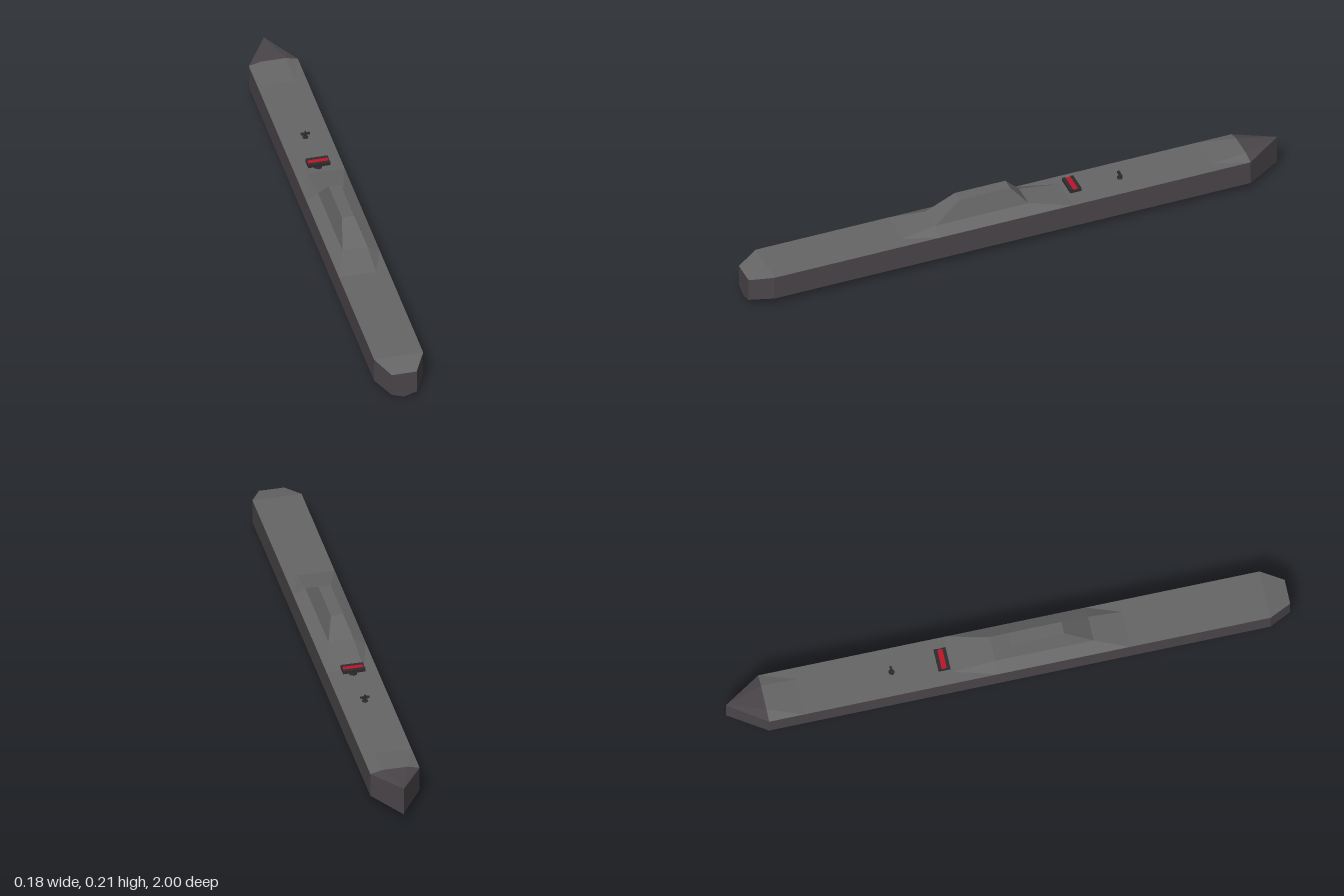
import * as THREE from 'three';

const paint = (color) => new THREE.MeshStandardMaterial({ color, flatShading: true });

// Skin between cross-sections given from bow to stern, each running clockwise seen from the bow
function loft(sections) {
  const pos = [];
  for (let i = 0; i < sections.length - 1; i++) {
    const a = sections[i], b = sections[i + 1];
    for (let j = 0; j < a.length - 1; j++) {
      pos.push(...a[j], ...a[j + 1], ...b[j + 1], ...a[j], ...b[j + 1], ...b[j]);
    }
  }
  const g = new THREE.BufferGeometry();
  g.setAttribute('position', new THREE.Float32BufferAttribute(pos, 3));
  g.computeVertexNormals();
  return g;
}

export function createModel() {
  const model = new THREE.Group();
  const deckMat = paint(0x666666), hullMat = paint(0x4a4549);
  const darkMat = paint(0x2c2c2e), redMat = paint(0xc01428);

  const add = (name, geometry, material, x = 0, y = 0, z = 0, parent = model) => {
    const m = new THREE.Mesh(geometry, material);
    m.name = name;
    m.position.set(x, y, z);
    parent.add(m);
    return m;
  };

  // Stations: z, half width, half width of deck crown, edge height, crown height, chine height, keel height
  const stations = [
    [1, 0.045, 0.03, 0.102, 0.102, 0.017, 0.002],
    [0.92, 0.088, 0.045, 0.12, 0.12, 0.03, 0],
    [0.42, 0.088, 0.045, 0.12, 0.12, 0.03, 0],
    [0.3, 0.088, 0.045, 0.12, 0.142, 0.03, 0],
    [-0.05, 0.088, 0.045, 0.12, 0.142, 0.03, 0],
    [-0.2, 0.088, 0.045, 0.12, 0.12, 0.03, 0],
    [-0.74, 0.088, 0.045, 0.12, 0.12, 0.03, 0],
    [-0.865, 0.088, 0.045, 0.12, 0.131, 0.03, 0],
    [-1, 0, 0, 0.132, 0.132, 0.03, 0.025],
  ];
  const deck = stations.map(([z, w, c, e, h]) => [[-w, e, z], [-c, h, z], [c, h, z], [w, e, z]]);
  const sides = stations.map(([z, w, , e, , b, k]) => [[w, e, z], [w, b, z], [0, k, z], [-w, b, z], [-w, e, z]]);
  add('deck', loft(deck.slice(0, -1)), deckMat);
  add('sternDeck', loft(deck.slice(-2)), hullMat);
  add('hull', loft(sides), hullMat);

  // Flat bow plate
  const bow = new THREE.Shape(sides[0].map(([x, y]) => new THREE.Vector2(x, y)));
  add('bowPlate', new THREE.ShapeGeometry(bow), hullMat, 0, 0, 1);

  // Tapered tower: a box whose upper face is drawn in
  const tower = new THREE.BoxGeometry(0.09, 0.068, 0.35);
  const p = tower.attributes.position;
  for (let i = 0; i < p.count; i++) {
    if (p.getY(i) > 0) {
      p.setX(i, Math.sign(p.getX(i)) * 0.022);
      p.setZ(i, p.getZ(i) > 0 ? 0.075 : -0.115);
    }
  }
  tower.computeVertexNormals();
  add('tower', tower, deckMat, 0, 0.176, 0.125);

  // Signal panel on a pedestal, red strip set in a dark frame
  const panel = new THREE.Group();
  panel.name = 'signalPanel';
  panel.position.set(0, 0.12, -0.23);
  model.add(panel);
  add('panelPedestal', new THREE.CylinderGeometry(0.011, 0.015, 0.018, 8), darkMat, 0, 0.009, 0, panel);
  add('panelBase', new THREE.BoxGeometry(0.08, 0.009, 0.042), darkMat, 0, 0.0205, 0, panel);
  for (const s of [-1, 1]) {
    add('panelRail', new THREE.BoxGeometry(0.08, 0.004, 0.012), darkMat, 0, 0.026, s * 0.015, panel);
  }
  add('panelStrip', new THREE.BoxGeometry(0.072, 0.003, 0.018), redMat, 0, 0.026, 0, panel);

  // Small mast with a crossbar
  const mast = new THREE.Group();
  mast.name = 'mast';
  mast.position.set(0, 0.12, -0.41);
  model.add(mast);
  add('mastBase', new THREE.CylinderGeometry(0.009, 0.011, 0.005, 8), darkMat, 0, 0.0025, 0, mast);
  add('mastPole', new THREE.CylinderGeometry(0.003, 0.004, 0.024, 6), darkMat, 0, 0.014, 0, mast);
  add('mastCrossbar', new THREE.BoxGeometry(0.032, 0.006, 0.008), darkMat, 0, 0.016, 0, mast);

  return model;
}
